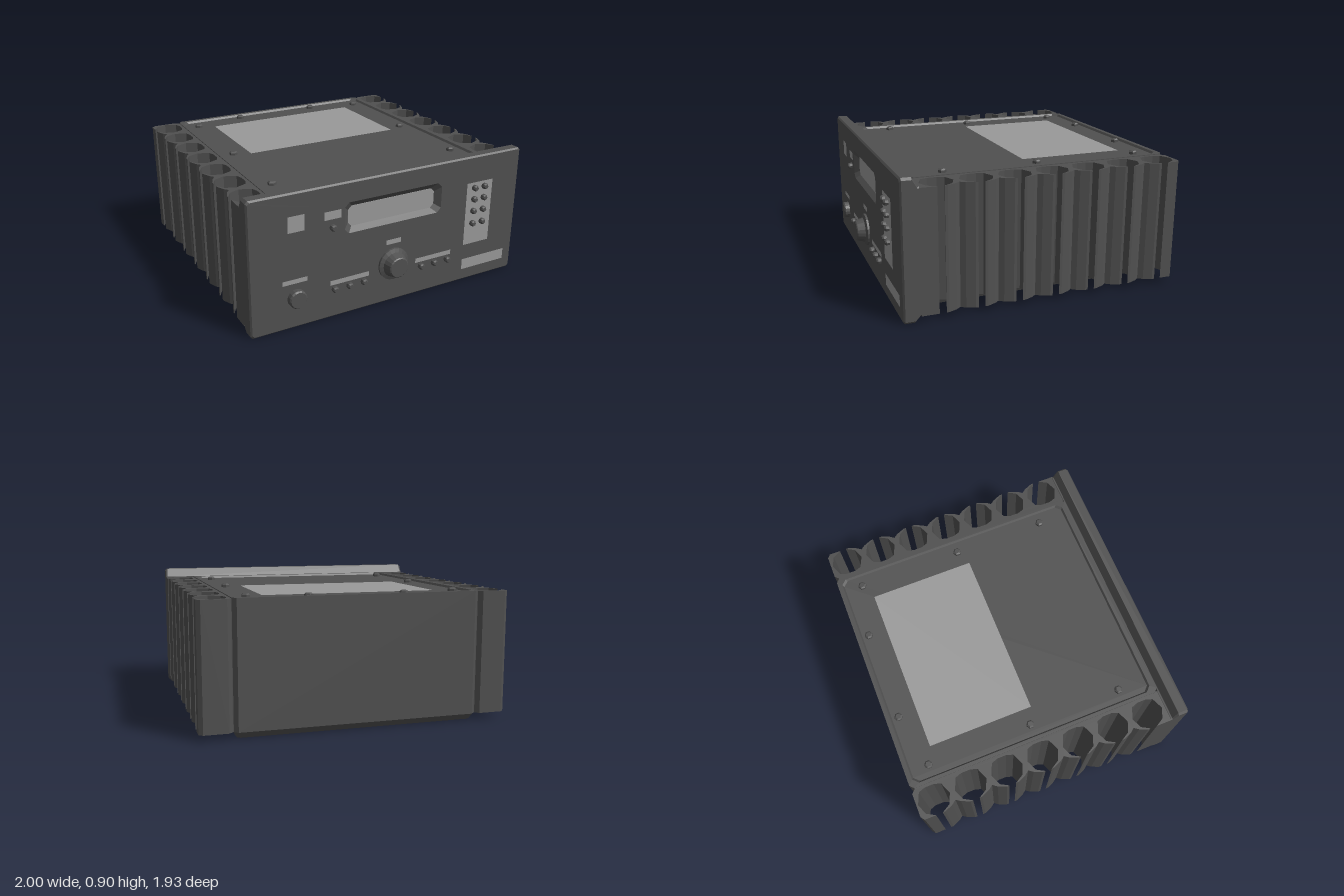
import * as THREE from 'three';

const dark = new THREE.MeshStandardMaterial({ color: 0x505050, flatShading: true });
const light = new THREE.MeshStandardMaterial({ color: 0x999999 });

// Rectangle with cut corners at height z, counter-clockwise
function rect(x0, x1, y0, y1, c, z) {
  return [
    [x0 + c, y0], [x1 - c, y0], [x1, y0 + c], [x1, y1 - c],
    [x1 - c, y1], [x0 + c, y1], [x0, y1 - c], [x0, y0 + c],
  ].map(([x, y]) => [x, y, z]);
}

// Skin between successive loops, closed at both ends
function loft(loops) {
  const pos = [], n = loops[0].length;
  const tri = (a, b, c) => pos.push(...a, ...b, ...c);
  for (let i = 0; i < loops.length - 1; i++) {
    for (let j = 0; j < n; j++) {
      const k = (j + 1) % n, p = loops[i], q = loops[i + 1];
      tri(p[j], p[k], q[k]);
      tri(p[j], q[k], q[j]);
    }
  }
  const first = loops[0], last = loops[loops.length - 1];
  for (let j = 1; j < n - 1; j++) {
    tri(first[0], first[j + 1], first[j]);
    tri(last[0], last[j], last[j + 1]);
  }
  const g = new THREE.BufferGeometry();
  g.setAttribute('position', new THREE.Float32BufferAttribute(pos, 3));
  g.computeVertexNormals();
  return g;
}

// Turned part standing on y = 0, from [radius, height] pairs
function turned(profile, sides) {
  return new THREE.LatheGeometry(profile.map(([r, h]) => new THREE.Vector2(r, h)), sides);
}

export function createModel() {
  const model = new THREE.Group();
  const add = (name, geo, mat, x = 0, y = 0, z = 0) => {
    const mesh = new THREE.Mesh(geo, mat);
    mesh.name = name;
    mesh.position.set(x, y, z);
    model.add(mesh);
    return mesh;
  };

  // Case with chamfered base and recessed lid (drawn flat, then stood up)
  add('case', loft([
    rect(-0.77, 0.77, -0.72, 0.94, 0.02, 0),
    rect(-0.79, 0.79, -0.72, 0.97, 0.025, 0.04),
    rect(-0.79, 0.79, -0.775, 0.97, 0.025, 0.041),
    rect(-0.79, 0.79, -0.775, 0.97, 0.025, 0.84),
    rect(-0.768, 0.768, -0.737, 0.94, 0.035, 0.84),
    rect(-0.758, 0.758, -0.727, 0.93, 0.035, 0.826),
  ]).rotateX(-Math.PI / 2), dark);

  // Front panel with sloped back edges and funnel-shaped display recess
  const frontZ = 0.885;
  add('frontPanel', loft([
    rect(-1, 1, 0.04, 0.84, 0.01, 0.77),
    rect(-1, 1, 0.04, 0.84, 0.01, 0.78),
    rect(-1, 1, 0, 0.9, 0.015, 0.813),
    rect(-1, 1, 0, 0.9, 0.015, 0.875),
    rect(-0.99, 0.99, 0.01, 0.89, 0.015, frontZ),
    rect(-0.36, 0.36, 0.56, 0.765, 0.03, frontZ),
    rect(-0.32, 0.32, 0.59, 0.725, 0.025, 0.85),
  ]), dark);
  add('displayScreen', loft([
    rect(-0.32, 0.32, 0.59, 0.725, 0.025, 0.849),
    rect(-0.32, 0.32, 0.59, 0.725, 0.025, 0.853),
  ]), light);

  // Heat sinks: a row of open round channels with forked fins between them
  const pitch = 0.249, channels = 7;
  const half = [[1, 0.022], [0.968, 0.078], [0.9, 0.107], [0.825, 0.075], [0.81, 0.03]];
  for (const side of [1, -1]) {
    const pts = [[0.785, -0.945], [0.795, -0.945], [0.82, -0.97], [0.975, -0.97], [1, -0.95]];
    for (let i = 0; i < channels; i++) {
      const c = -0.852 + i * pitch;
      if (i > 0) pts.push([0.955, c - pitch / 2], [0.977, c - 0.095], [1, c - 0.04]);
      for (const [x, d] of half) pts.push([x, c - d]);
      for (const [x, d] of [...half].reverse()) pts.push([x, c + d]);
      if (i < channels - 1) pts.push([1, c + 0.04], [0.977, c + 0.095]);
    }
    pts.push([1, 0.775], [0.785, 0.775]);
    const shape = new THREE.Shape(pts.map(([x, z]) => new THREE.Vector2(x * side, -z)));
    const geo = new THREE.ExtrudeGeometry(shape, { depth: 0.795, bevelEnabled: false });
    add(side > 0 ? 'leftHeatSink' : 'rightHeatSink', geo.rotateX(-Math.PI / 2), dark, 0, 0.04, 0);
  }

  // Lid screws and lid label
  const screw = turned([[0.028, 0], [0.028, 0.016], [0.018, 0.024], [0, 0.024]], 6);
  const screwSpots = [[0.68, -0.81], [0.68, -0.1], [0.68, 0.535], [0.31, -0.885]];
  for (const [x, z] of screwSpots) {
    for (const s of [1, -1]) add('lidScrew', screw, dark, x * s, 0.826, z);
  }
  add('lidLabel', new THREE.PlaneGeometry(1.14, 0.71).rotateX(-Math.PI / 2), light, 0, 0.83, -0.405);

  // Front labels: x0, x1, y0, y1
  const labels = [
    [-0.745, -0.635, 0.65, 0.755], [-0.5, -0.385, 0.68, 0.735],
    [-0.785, -0.62, 0.31, 0.34], [-0.46, -0.18, 0.23, 0.262],
    [0.175, 0.46, 0.23, 0.262], [-0.055, 0.055, 0.415, 0.448],
    [0.565, 0.775, 0.27, 0.717], [0.565, 0.925, 0.085, 0.162],
  ];
  for (const [x0, x1, y0, y1] of labels) {
    add('frontLabel', new THREE.PlaneGeometry(x1 - x0, y1 - y0), light,
      (x0 + x1) / 2, (y0 + y1) / 2, frontZ + 0.003);
  }

  // Push buttons: indicator, keypad and two rows of three
  const button = turned([[0.021, 0], [0.021, 0.022], [0.014, 0.032], [0, 0.032]], 8).rotateX(Math.PI / 2);
  const buttonSpots = [[-0.445, 0.627]];
  for (const y of [0.68, 0.6, 0.515, 0.425]) buttonSpots.push([0.625, y], [0.705, y]);
  for (const x of [0.22, 0.325, 0.43]) buttonSpots.push([x, 0.2], [-x, 0.2]);
  for (const [x, y] of buttonSpots) add('button', button, dark, x, y, frontZ);

  // Knobs
  const smallKnob = [[0.06, 0], [0.06, 0.032], [0.052, 0.041], [0, 0.041]];
  add('smallKnob', turned(smallKnob, 16).rotateX(Math.PI / 2), dark, -0.695, 0.21, frontZ);
  const mainKnob = [[0.11, 0], [0.11, 0.014], [0.085, 0.024], [0.07, 0.074], [0.063, 0.08], [0, 0.08]];
  add('mainKnob', turned(mainKnob, 20).rotateX(Math.PI / 2), dark, 0, 0.273, frontZ);

  return model;
}
